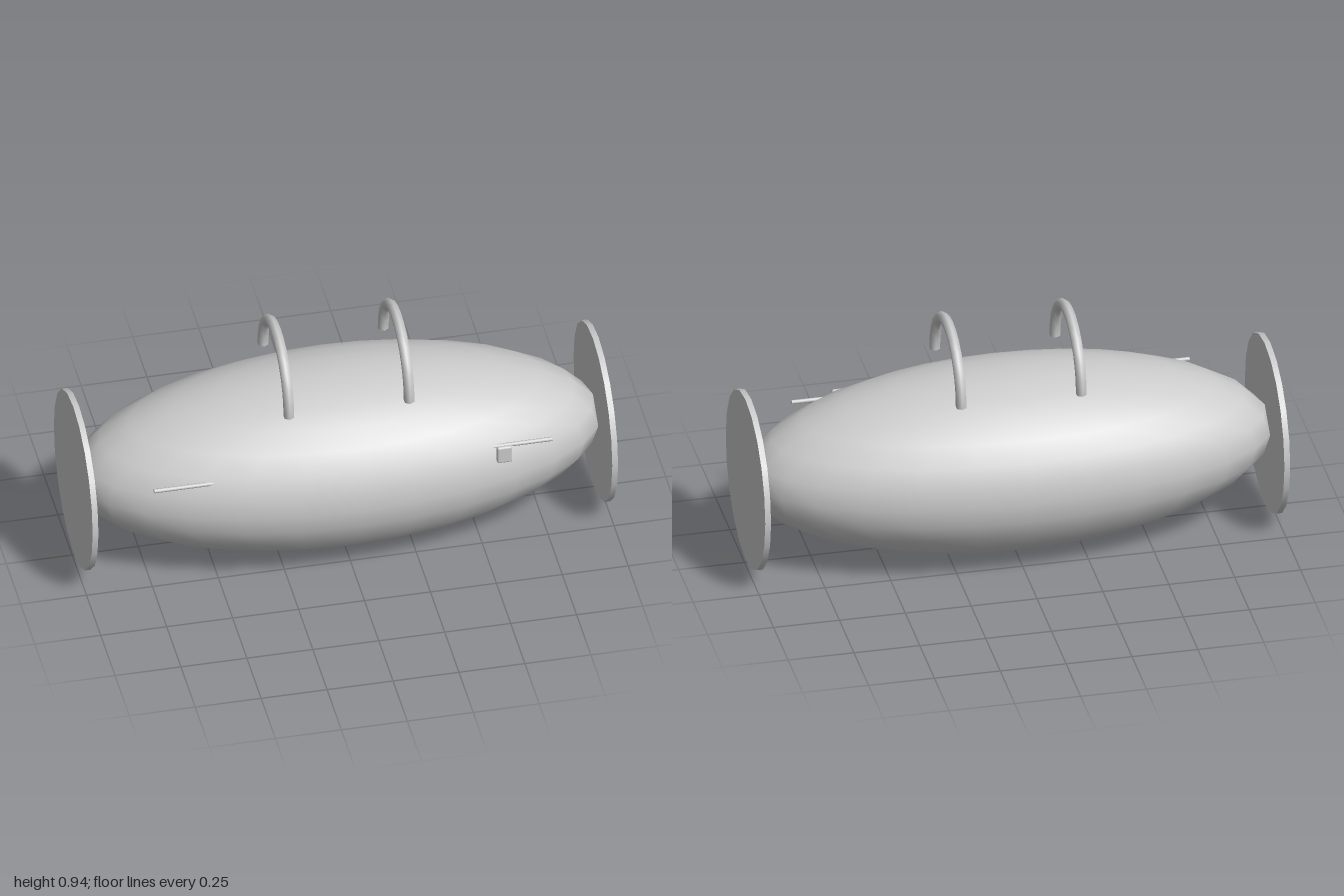
import * as THREE from 'three';
import { RoundedBoxGeometry } from 'three/addons/geometries/RoundedBoxGeometry.js';

const MID_Y = 0.357;

export function createModel() {
  const model = new THREE.Group();
  model.name = 'duffelBag';
  const material = new THREE.MeshStandardMaterial({ color: 0xcccccc });
  const openMaterial = new THREE.MeshStandardMaterial({ color: 0xcccccc, side: THREE.DoubleSide });

  const add = (name, geometry, x, y, z, mat = material) => {
    const mesh = new THREE.Mesh(geometry, mat);
    mesh.name = name;
    mesh.position.set(x, y, z);
    model.add(mesh);
    return mesh;
  };

  // Stretched, rounded bag body
  const bodyGeometry = new THREE.SphereGeometry(1, 28, 14).scale(1, 0.352, 0.415);
  add('body', bodyGeometry, 0, MID_Y, 0);

  // Flat end discs and arched carry handles, mirrored left and right
  const discGeometry = new THREE.CylinderGeometry(0.34, 0.34, 0.022, 20).rotateZ(Math.PI / 2);
  const handleGeometry = new THREE.TorusGeometry(0.228, 0.021, 6, 14, Math.PI).rotateY(Math.PI / 2);
  for (const [side, s] of [['left', 1], ['right', -1]]) {
    add(side + 'EndPanel', discGeometry, s * 0.985, MID_Y, 0);
    add(side + 'Handle', handleGeometry, s * 0.228, 0.698, 0, openMaterial);
  }

  // Zip rod running through the front of the body, showing at both ends
  const zipGeometry = new THREE.CylinderGeometry(0.008, 0.008, 1.51, 8).rotateZ(Math.PI / 2);
  add('zip', zipGeometry, 0, 0.49, 0.302);

  // Small zip pull
  add('zipPull', new RoundedBoxGeometry(0.058, 0.072, 0.018, 3, 0.008), 0.567, 0.471, 0.331);

  return model;
}
